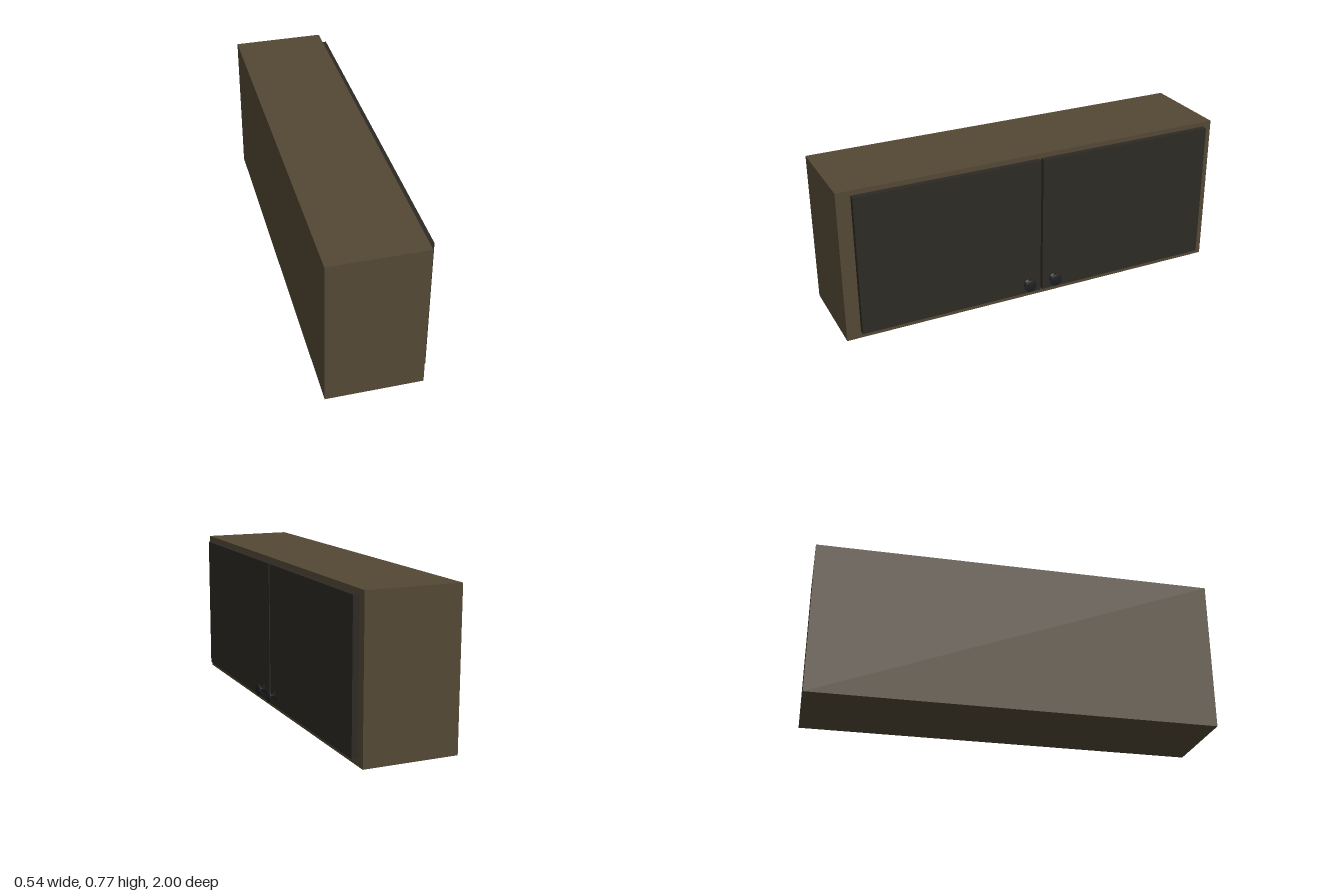
import * as THREE from 'three';

const wood = new THREE.MeshStandardMaterial({ color: 0x544835 });
const dark = new THREE.MeshStandardMaterial({ color: 0x2d2a24 });
const metal = new THREE.MeshStandardMaterial({ color: 0x1e1f22 });

// Box given by its minimum and maximum corners
function boxBetween(name, min, max, material) {
  const size = max.map((v, i) => v - min[i]);
  const mesh = new THREE.Mesh(new THREE.BoxGeometry(...size), material);
  mesh.position.set(...max.map((v, i) => (v + min[i]) / 2));
  mesh.name = name;
  return mesh;
}

// Turned knob: flared base, thin stem and rounded disc, pointing along +x
function makeKnob(name, z) {
  const profile = [
    [0, 0], [0.023, 0], [0.021, 0.003], [0.007, 0.014], [0.006, 0.017], [0.006, 0.028],
    [0.026, 0.029], [0.031, 0.031], [0.0325, 0.034], [0.031, 0.037],
    [0.025, 0.039], [0.012, 0.042], [0, 0.0425],
  ].map(([r, h]) => new THREE.Vector2(r, h));
  const knob = new THREE.Mesh(new THREE.LatheGeometry(profile, 24), metal);
  knob.rotation.z = -Math.PI / 2;
  knob.position.set(0.227, 0.092, z);
  knob.name = name;
  return knob;
}

export function createModel() {
  const cabinet = new THREE.Group();
  cabinet.name = 'wallCabinet';

  // Cabinet body
  cabinet.add(boxBetween('body', [-0.27, 0, -1], [0.197, 0.77, 1], wood));

  // Two doors with a narrow gap, each with a knob near the lower inner corner
  const doors = [
    ['front', -0.007, 0.93, 0.064],
    ['back', -0.953, -0.018, -0.078],
  ];
  for (const [side, z0, z1, knobZ] of doors) {
    cabinet.add(boxBetween(side + 'Door', [0.197, 0.036, z0], [0.227, 0.746, z1], dark));
    cabinet.add(makeKnob(side + 'Knob', knobZ));
  }
  return cabinet;
}
